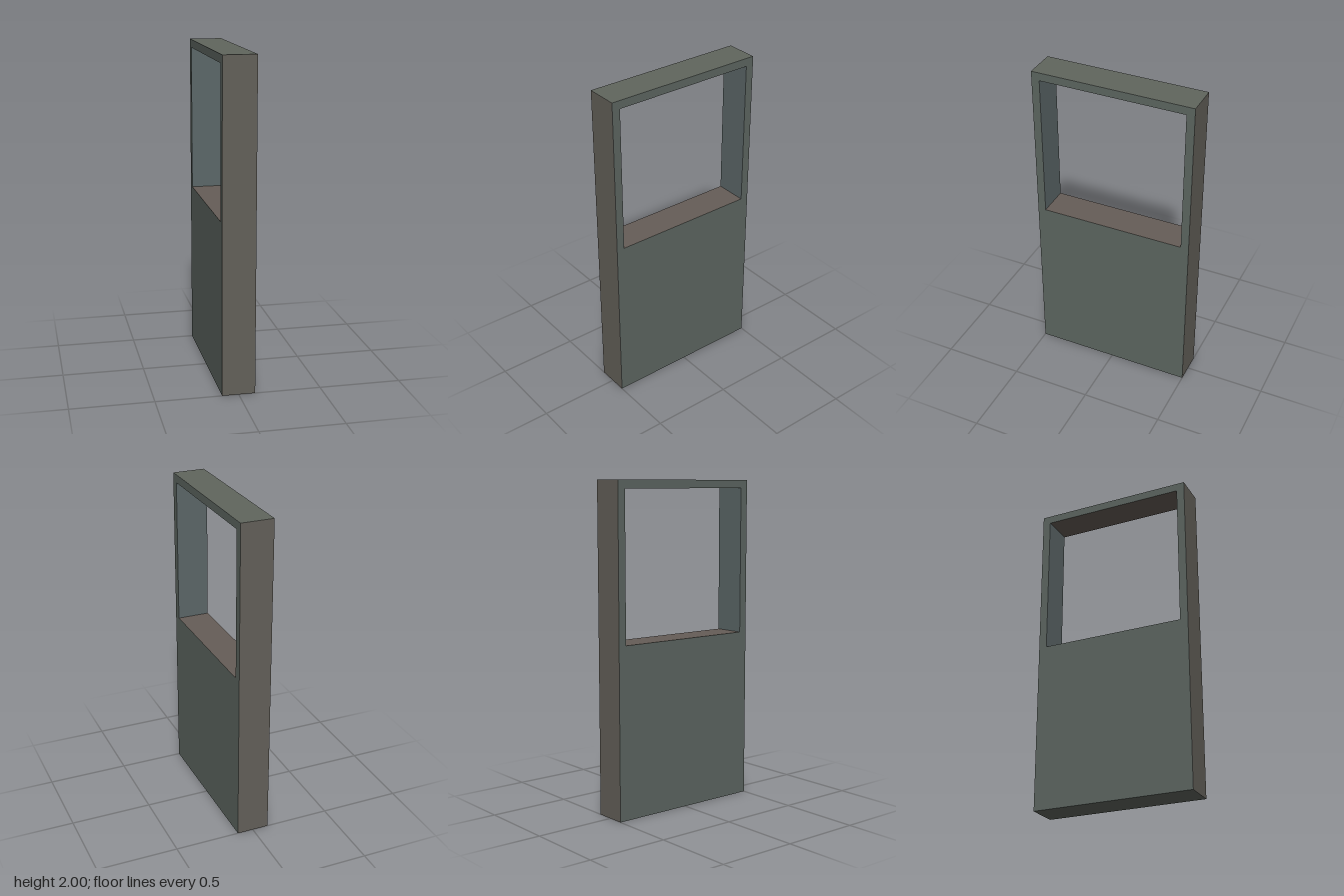
import * as THREE from 'three';

const HEIGHT = 2, WIDTH = 1, DEPTH = 0.2;
const OPENING = { half: 0.45, bottom: 1.05, top: 1.95 };

// Rectangle outline, usable as a shape or as a hole
function rectangle(Type, half, bottom, top) {
  const r = new Type();
  r.moveTo(-half, bottom);
  r.lineTo(half, bottom);
  r.lineTo(half, top);
  r.lineTo(-half, top);
  r.closePath();
  return r;
}

export function createModel() {
  const group = new THREE.Group();
  group.name = 'windowWall';

  // Solid lower wall and thin upper frame in one piece, with a square opening
  const outline = rectangle(THREE.Shape, WIDTH / 2, 0, HEIGHT);
  outline.holes.push(rectangle(THREE.Path, OPENING.half, OPENING.bottom, OPENING.top));
  const geometry = new THREE.ExtrudeGeometry(outline, { depth: DEPTH, bevelEnabled: false });
  geometry.translate(0, 0, -DEPTH / 2);
  geometry.rotateY(-Math.PI / 2);

  // Tints: broad faces, outer ends, top and bottom, jambs, sill and lintel
  const materials = [0x5c6560, 0x636059, 0x60655d, 0x5c6768, 0x665d57]
    .map((color) => new THREE.MeshStandardMaterial({ color }));

  // Give each edge wall its own tint: outer or opening, upright or level
  const { start, count } = geometry.groups[1];
  const position = geometry.attributes.position;
  const normal = geometry.attributes.normal;
  geometry.groups.length = 1;
  for (let i = start; i < start + count; i += 6) {
    const level = Math.abs(normal.getY(i)) > 0.5;
    const y = position.getY(i);
    const outer = level
      ? y < 0.01 || y > HEIGHT - 0.01
      : Math.abs(position.getZ(i)) > OPENING.half + 0.01;
    geometry.addGroup(i, 6, (outer ? 1 : 3) + (level ? 1 : 0));
  }

  const wall = new THREE.Mesh(geometry, materials);
  wall.name = 'wallWithOpening';
  group.add(wall);
  return group;
}
